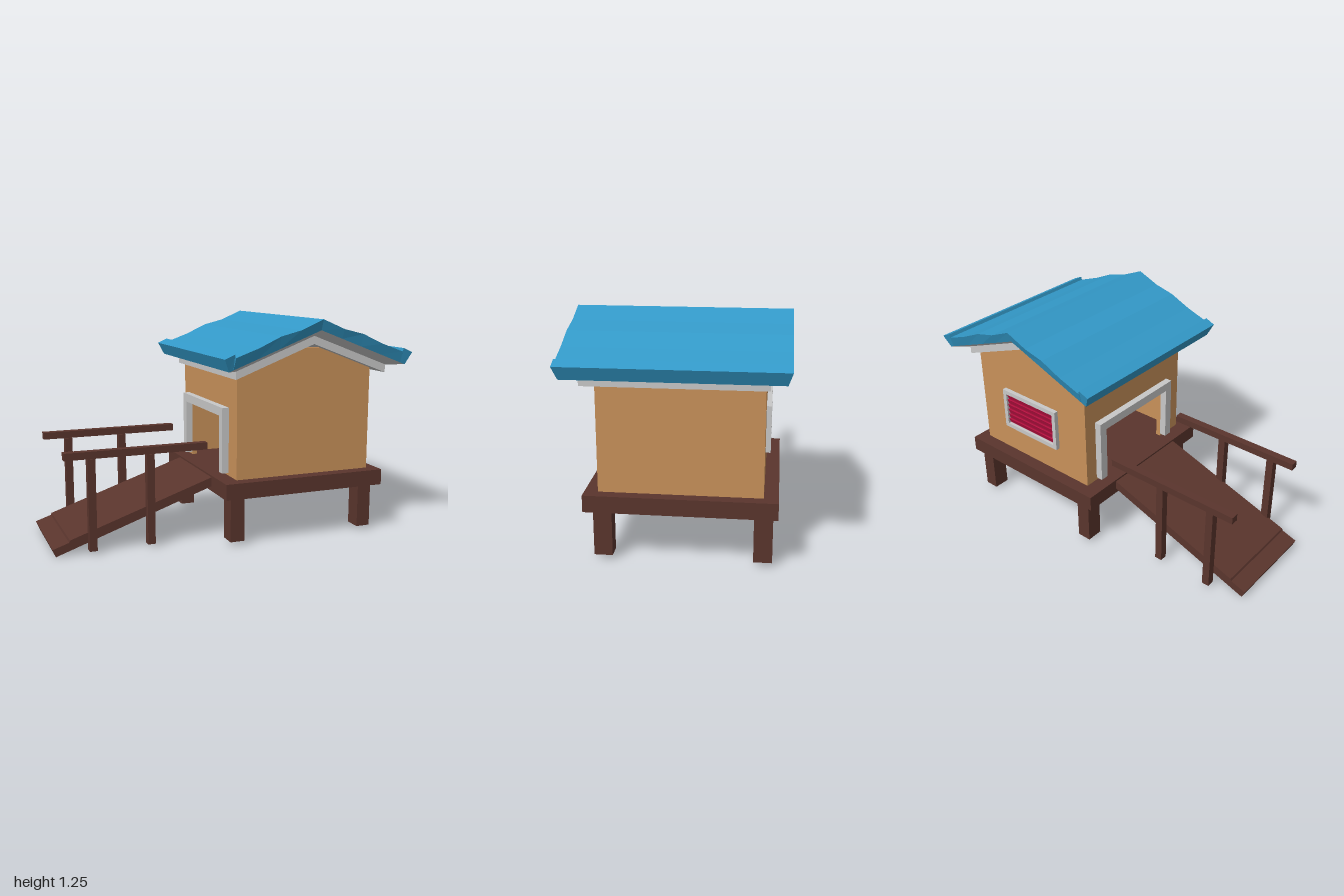
import * as THREE from 'three';

const material = (name, color, side = THREE.FrontSide) => {
  const m = new THREE.MeshStandardMaterial({ color, side });
  m.name = name;
  return m;
};

export function createModel() {
  const tan = material('tan wall', 0xc8915a);
  const brown = material('dark brown wood', 0x5a352d);
  const blue = material('blue roofing', 0x3399c8, THREE.DoubleSide);
  const grey = material('light grey trim', 0xc8c8c8, THREE.DoubleSide);
  const red = material('crimson shutter', 0xb5103f);
  const model = new THREE.Group();
  model.name = 'raisedHut';

  const add = (name, geometry, mat) => {
    const mesh = new THREE.Mesh(geometry, mat);
    mesh.name = name;
    model.add(mesh);
    return mesh;
  };
  // Box given by its lower and upper limits on each axis
  const box = (name, mat, x0, x1, y0, y1, z0, z1) => {
    const mesh = add(name, new THREE.BoxGeometry(x1 - x0, y1 - y0, z1 - z0), mat);
    mesh.position.set((x0 + x1) / 2, (y0 + y1) / 2, (z0 + z1) / 2);
    return mesh;
  };
  const shapeOf = (pts) => new THREE.Shape(pts.map(([x, y]) => new THREE.Vector2(x, y)));
  const prism = (shape, z0, z1) =>
    new THREE.ExtrudeGeometry(shape, { depth: z1 - z0, bevelEnabled: false }).translate(0, 0, z0);

  // Deck and its four legs
  box('deck', brown, -0.09, 0.89, 0.28, 0.37, -0.515, 0.47);
  for (const x of [-0.045, 0.763])
    for (const z of [-0.49, 0.33]) box('deckLeg', brown, x, x + 0.083, 0.025, 0.28, z, z + 0.096);

  // Ramp with a low lip at its foot
  add('ramp', prism(shapeOf([
    [-1, 0.045], [-0.983, 0.003], [-0.09, 0.308], [-0.09, 0.36], [-0.905, 0.087], [-0.91, 0.075],
  ]), -0.295, 0.25), brown);

  // Handrails
  for (const [name, railZ, postZ] of [['front', 0.231, 0.237], ['back', -0.368, -0.357]]) {
    box(name + 'Handrail', brown, -0.93, -0.125, 0.53, 0.57, railZ, railZ + 0.044);
    for (const x of [-0.805, -0.477])
      box(name + 'RailPost', brown, x, x + 0.043, 0.02, 0.53, postZ, postZ + 0.043);
  }

  // Gable walls with flattened peaks, and the plain side wall
  const gable = shapeOf([
    [0, 0.37], [0.83, 0.37], [0.83, 0.965], [0.51, 1.09], [0.35, 1.09], [0, 0.965],
  ]);
  add('frontWall', prism(gable, 0.37, 0.4), tan);
  add('backWall', prism(gable, -0.44, -0.41), tan);
  box('sideWall', tan, 0.8, 0.83, 0.37, 0.965, -0.41, 0.37);

  // Door wall and door frame share one upside-down U outline
  const portal = (name, mat, y0, z0, z1, top, inZ0, inZ1, inTop, xMin, xMax) => {
    const u = shapeOf([
      [z0, y0], [inZ0, y0], [inZ0, inTop], [inZ1, inTop], [inZ1, y0], [z1, y0], [z1, top], [z0, top],
    ]);
    add(name, prism(u, -xMax, -xMin).rotateY(-Math.PI / 2), mat);
  };
  portal('doorWall', tan, 0.37, -0.41, 0.37, 0.965, -0.31, 0.235, 0.71, 0, 0.03);
  portal('doorFrame', grey, 0.385, -0.36, 0.285, 0.76, -0.31, 0.235, 0.71, -0.04, 0);

  // Shuttered window on the back
  const frame = shapeOf([[0.21, 0.54], [0.63, 0.54], [0.63, 0.79], [0.21, 0.79]]);
  frame.holes.push(shapeOf([[0.235, 0.565], [0.235, 0.765], [0.605, 0.765], [0.605, 0.565]]));
  add('windowFrame', prism(frame, -0.466, -0.44), grey);
  box('shutterPanel', red, 0.235, 0.605, 0.565, 0.765, -0.446, -0.44);
  for (let i = 0; i < 6; i++) {
    const y = 0.567 + i * 0.033;
    box('shutterSlat', red, 0.235, 0.605, y, y + 0.03, -0.454, -0.449).rotation.x = -0.3;
  }

  // Chevron trim under the roof
  const mid = 0.43, slope = 0.38;
  const chevron = (peak, x0, x1, x) => {
    const cx = Math.min(x1, Math.max(x0, x));
    return [cx, peak - slope * Math.abs(cx - mid)];
  };
  const trimTop = [-0.035, mid, 0.89].map((x) => chevron(1.16, -0.035, 0.89, x));
  const trimLow = trimTop.map(([x, y]) => [x, y - 0.045]).reverse();
  add('eaveTrim', prism(shapeOf([...trimLow, ...trimTop]), -0.46, 0.465), grey);

  // Surface made of strips, each joining two rows of points
  const at = (row, z) => row.map(([x, y]) => [x, y, z]);
  const surface = (name, mat, strips) => {
    const pos = [];
    for (const [a, b] of strips)
      for (let i = 0; i < a.length - 1; i++)
        pos.push(...a[i], ...a[i + 1], ...b[i + 1], ...a[i], ...b[i + 1], ...b[i]);
    const g = new THREE.BufferGeometry();
    g.setAttribute('position', new THREE.Float32BufferAttribute(pos, 3));
    g.computeVertexNormals();
    add(name, g, mat);
  };

  // Wavy roof with raised lips at the eaves
  const half = [
    [0.57, 1.06], [0.513, 1.085], [0.507, 1.066], [0.375, 1.113], [0.25, 1.17], [0.13, 1.2],
  ];
  const top = [
    ...half.map(([d, y]) => [mid - d, y]), [mid, 1.255],
    ...half.map(([d, y]) => [mid + d, y]).reverse(),
  ];
  const low = top.map(([x]) => chevron(1.195, -0.108, 0.968, x));
  const topF = at(top, 0.565), topB = at(top, -0.562);
  const lowF = at(low, 0.543), lowB = at(low, -0.54);
  const ends = (row) => [row[0], row[row.length - 1]];
  const [tf0, tf1] = ends(topF), [tb0, tb1] = ends(topB);
  const [lf0, lf1] = ends(lowF), [lb0, lb1] = ends(lowB);
  surface('roof', blue, [
    [topF, topB], [lowF, topF], [topB, lowB],
    [[lb0, lf0], [tb0, tf0]], [[lf1, lb1], [tf1, tb1]],
  ]);

  // Soffit sloping in from the roof edge to the trim
  const inF = at(trimTop, 0.465), inB = at(trimTop, -0.46);
  const peakF = lowF[6], peakB = lowB[6];
  surface('soffit', grey, [
    [inF, [lf0, peakF, lf1]], [[lb0, peakB, lb1], inB],
    [[inB[0], inF[0]], [lb0, lf0]], [[inF[2], inB[2]], [lf1, lb1]],
  ]);

  return model;
}
